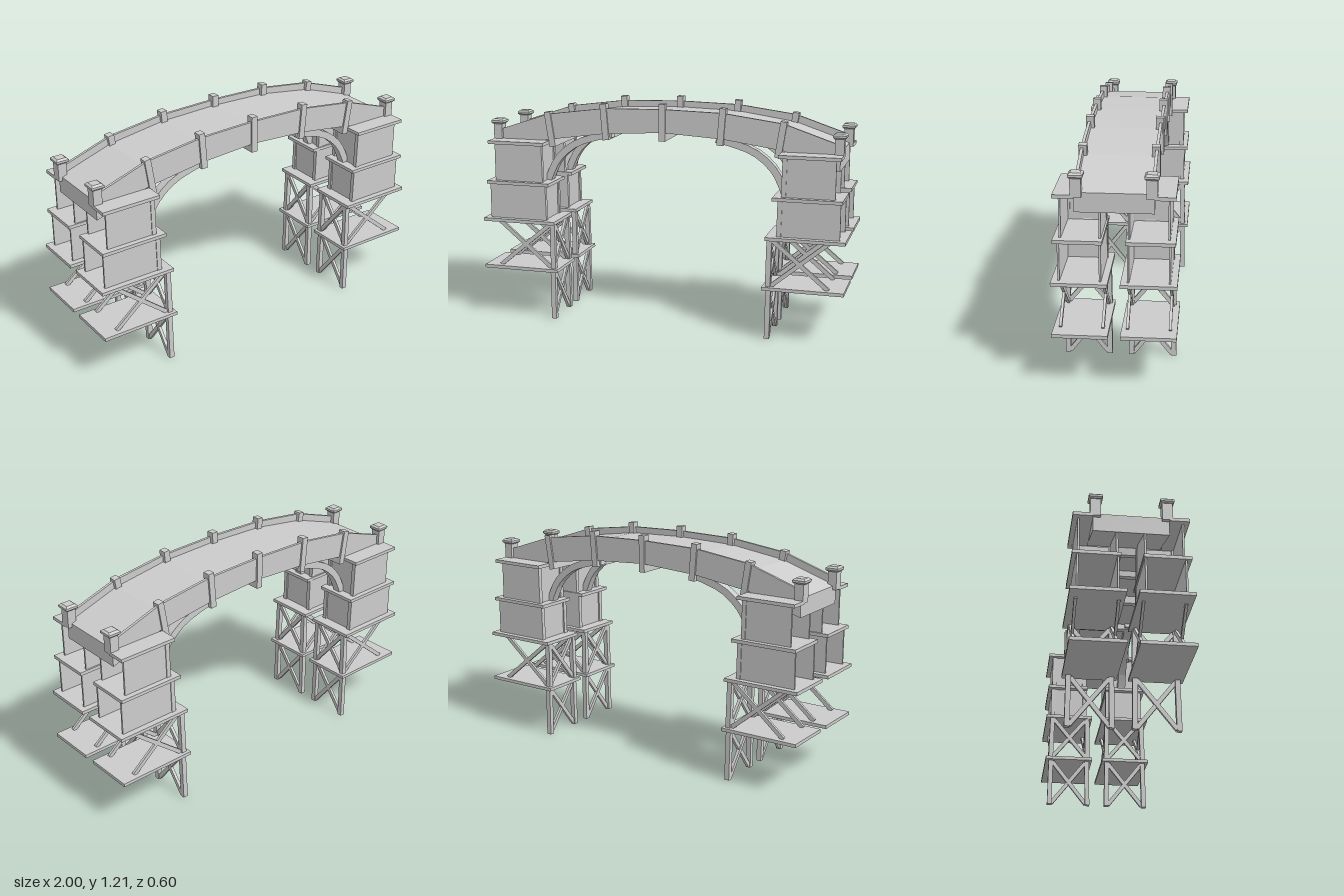
import * as THREE from 'three';

export function createModel() {
  const root = new THREE.Group();
  root.name = 'archedBridge';
  const stone = new THREE.MeshStandardMaterial({ color: 0xcccccc, flatShading: true, side: THREE.DoubleSide });
  stone.name = 'pale grey';

  const add = (parent, name, geo) => {
    const mesh = new THREE.Mesh(geo, stone);
    mesh.name = name;
    parent.add(mesh);
    return mesh;
  };

  // Box from its limits
  const box = (parent, name, x0, x1, y0, y1, z0, z1) => {
    const m = add(parent, name, new THREE.BoxGeometry(Math.abs(x1 - x0), y1 - y0, Math.abs(z1 - z0)));
    m.position.set((x0 + x1) / 2, (y0 + y1) / 2, (z0 + z1) / 2);
    return m;
  };

  // Square timber between two points; w lies across the plane of the bar and the side axis, d along the side axis
  const bar = (parent, name, a, b, w, d, side) => {
    const A = new THREE.Vector3(...a), B = new THREE.Vector3(...b);
    const up = B.clone().sub(A), len = up.length();
    up.normalize();
    const s = new THREE.Vector3(...side);
    s.addScaledVector(up, -s.dot(up)).normalize();
    const across = new THREE.Vector3().crossVectors(up, s);
    const m = add(parent, name, new THREE.BoxGeometry(w, len, d));
    m.quaternion.setFromRotationMatrix(new THREE.Matrix4().makeBasis(across, up, s));
    m.position.copy(A).add(B).multiplyScalar(0.5);
    return m;
  };

  // Outline in x/y extruded between two z values
  const slab = (parent, name, pts, z0, z1) => {
    const shape = new THREE.Shape(pts.map(p => new THREE.Vector2(p[0], p[1])));
    const geo = new THREE.ExtrudeGeometry(shape, { depth: z1 - z0, bevelEnabled: false });
    geo.translate(0, 0, z0);
    return add(parent, name, geo);
  };

  // Faceted arched span
  const xs = [0, 0.33, 0.65, 0.945];
  const line = ys => {
    const half = xs.map((x, i) => [x, ys[i]]);
    return [...half.slice(1).reverse().map(([x, y]) => [-x, y]), ...half];
  };
  const bottom = line([1.055, 1.035, 0.99, 0.895]).reverse();
  slab(root, 'deck', [...line([1.147, 1.137, 1.09, 0.992]), ...bottom], -0.175, 0.175);
  for (const s of [-1, 1]) {
    const z = s * 0.1825;
    slab(root, 'parapet', [...line([1.18, 1.172, 1.13, 1.032]), ...bottom], z - 0.0075, z + 0.0075);
  }

  // Ribs: leaning posts on both sides joined by a beam under the span
  const ribs = [[0, 1.01, 0, 1.208], [0.315, 1.003, 0.33, 1.198], [0.623, 0.953, 0.652, 1.142]];
  ribs.forEach(([xb, yb, xt, yt]) => {
    for (const sx of xb === 0 ? [1] : [-1, 1]) {
      const rib = new THREE.Group();
      rib.name = 'rib';
      root.add(rib);
      const a = [sx * xb, yb], b = [sx * xt, yt];
      const k = 0.24;
      const c = [a[0] + (b[0] - a[0]) * k, a[1] + (b[1] - a[1]) * k];
      for (const sz of [-1, 1]) {
        bar(rib, 'ribPost', [...a, sz * 0.178], [...b, sz * 0.178], 0.035, 0.042, [0, 0, 1]);
      }
      bar(rib, 'ribBeam', [...a, 0], [...c, 0], 0.035, 0.32, [0, 0, 1]);
    }
  });

  // Curved brace between tower and span
  const arch = (parent, sx, sz) => {
    const curve = new THREE.CatmullRomCurve3([[0.665, 0.75], [0.648, 0.795], [0.60, 0.885], [0.50, 0.97],
      [0.365, 1.017], [0.29, 1.032]].map(p => new THREE.Vector3(p[0], p[1], 0)));
    const outer = [], inner = [];
    for (let i = 0; i <= 12; i++) {
      const p = curve.getPoint(i / 12), t = curve.getTangent(i / 12);
      outer.push([sx * (p.x + t.y * 0.019), p.y - t.x * 0.019]);
      inner.push([sx * (p.x - t.y * 0.019), p.y + t.x * 0.019]);
    }
    const z = sz * 0.155;
    slab(parent, 'archBrace', [...outer, ...inner.reverse()], z - 0.023, z + 0.023);
  };

  // Four towers, open at the outer end
  const tower = (sx, sz) => {
    const g = new THREE.Group();
    g.name = 'tower';
    root.add(g);
    const b = (name, x0, x1, y0, y1, z0, z1) => box(g, name, sx * x0, sx * x1, y0, y1, sz * z0, sz * z1);
    const strut = (name, p, q, w, d, side) =>
      bar(g, name, [sx * p[0], p[1], sz * p[2]], [sx * q[0], q[1], sz * q[2]], w, d, side);

    // Platforms and ledge
    b('lowerPlatform', 0.57, 1.0, 0.268, 0.286, 0.03, 0.302);
    b('middlePlatform', 0.583, 1.0, 0.536, 0.554, 0.03, 0.302);
    b('upperPlatform', 0.615, 0.978, 0.745, 0.763, 0.055, 0.292);
    b('topLedge', 0.643, 0.965, 0.967, 0.985, 0.19, 0.29);

    // Walled storeys: two long walls, an inner end wall and corner posts
    for (const [x0, x1, y0, y1, z0, z1] of [[0.648, 0.967, 0.554, 0.745, 0.06, 0.272], [0.668, 0.937, 0.763, 0.967, 0.062, 0.266]]) {
      b('sideWall', x0, x1, y0, y1, z1 - 0.012, z1 - 0.002);
      b('sideWall', x0, x1, y0, y1, z0 + 0.002, z0 + 0.012);
      b('endWall', x0, x0 + 0.01, y0, y1, z0 + 0.004, z1 - 0.004);
      for (const z of [z0 + 0.01, z1 - 0.01]) {
        strut('cornerPost', [x0 + 0.002, y0, z], [x0 + 0.006, y1, z], 0.024, 0.024, [0, 0, 1]);
      }
    }

    // Two-storey trestle at the inner edge
    for (const [y0, y1, zi0, zi1, zo0, zo1] of [[0, 0.268, 0.056, 0.059, 0.275, 0.271], [0.286, 0.536, 0.056, 0.06, 0.272, 0.266]]) {
      strut('trestleLeg', [0.6, y0, zi0], [0.603, y1, zi1], 0.027, 0.026, [0, 0, 1]);
      strut('trestleLeg', [0.6, y0, zo0], [0.603, y1, zo1], 0.027, 0.026, [0, 0, 1]);
      strut('crossBrace', [0.6, y0 + 0.008, zi0 + 0.01], [0.6, y1 - 0.008, zo1 - 0.01], 0.022, 0.016, [1, 0, 0]);
      strut('crossBrace', [0.604, y0 + 0.008, zo0 - 0.01], [0.604, y1 - 0.008, zi1 + 0.01], 0.022, 0.016, [1, 0, 0]);
    }

    // Long diagonals between the platforms
    for (const z of [0.06, 0.268]) {
      strut('longBrace', [0.612, 0.286, z], [0.915, 0.538, z], 0.022, 0.014, [0, 0, 1]);
      strut('longBrace', [0.612, 0.538, z], [0.915, 0.286, z], 0.022, 0.014, [0, 0, 1]);
    }

    // Capped end post
    b('endPost', 0.917, 0.965, 0.972, 1.068, 0.152, 0.205);
    const cap = (r0, r1, y0, y1) => {
      const geo = new THREE.CylinderGeometry(r1 * Math.SQRT2, r0 * Math.SQRT2, y1 - y0, 4);
      geo.rotateY(Math.PI / 4);
      add(g, 'postCap', geo).position.set(sx * 0.941, (y0 + y1) / 2, sz * 0.178);
    };
    cap(0.027, 0.035, 1.066, 1.074);
    cap(0.035, 0.035, 1.074, 1.085);
    cap(0.035, 0.024, 1.085, 1.094);

    arch(g, sx, sz);
  };
  for (const sx of [-1, 1]) for (const sz of [-1, 1]) tower(sx, sz);

  return root;
}
